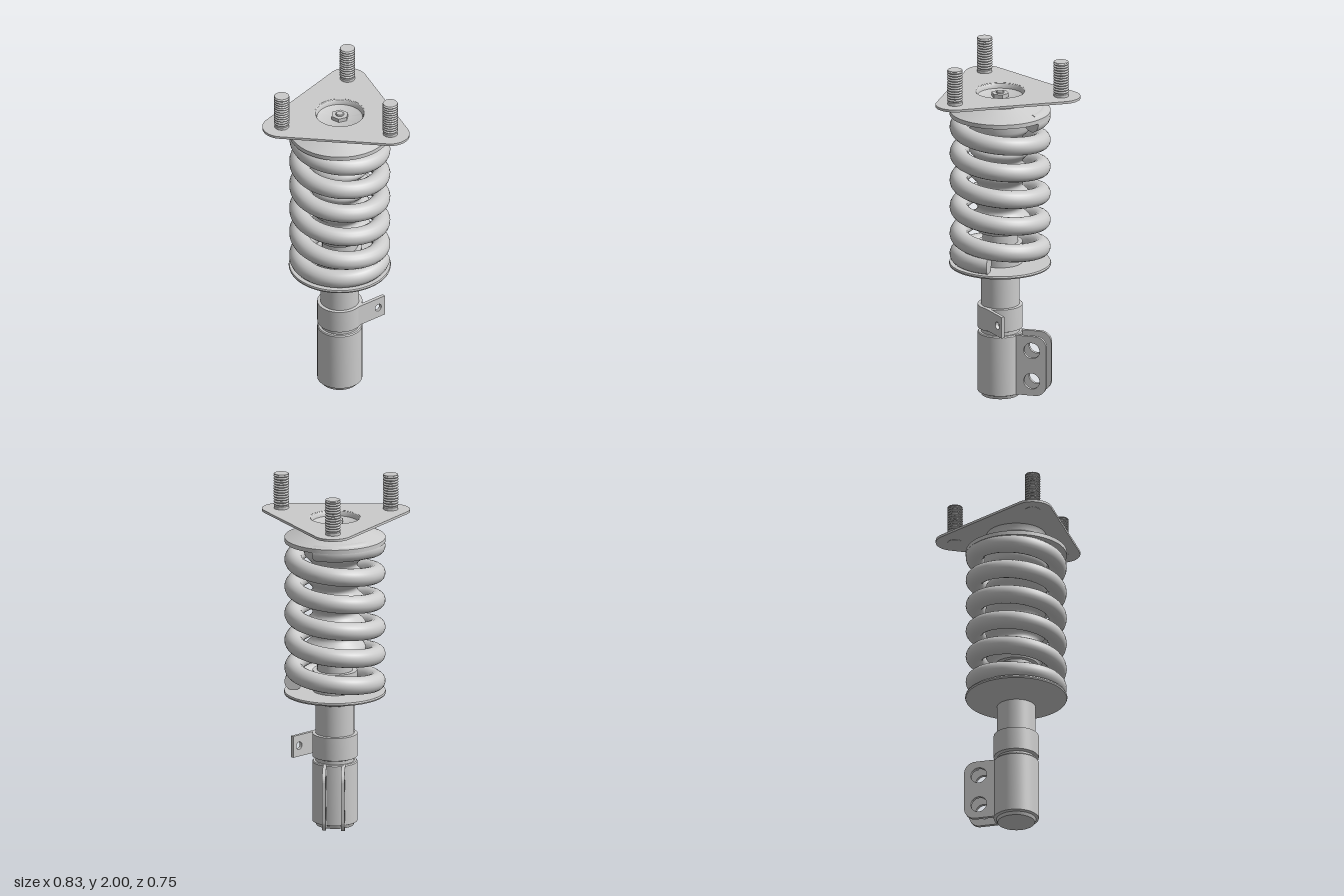
import * as THREE from 'three';
import { toCreasedNormals } from 'three/addons/utils/BufferGeometryUtils.js';

const grey = new THREE.MeshStandardMaterial({ color: 0xcccccc });
const AXIS_Z = 0.087; // the strut axis sits forward of the centre

function add(parent, name, geometry) {
  const mesh = new THREE.Mesh(geometry, grey);
  mesh.name = name;
  parent.add(mesh);
  return mesh;
}

// Turned part from [radius, height] pairs, listed from bottom to top
function turned(profile, sides = 64) {
  const points = profile.map(([r, y]) => new THREE.Vector2(r, y));
  return toCreasedNormals(new THREE.LatheGeometry(points, sides), 0.55);
}

function extruded(shape, depth) {
  const geometry = new THREE.ExtrudeGeometry(shape, { depth, bevelEnabled: false, curveSegments: 24 });
  return toCreasedNormals(geometry, 0.55);
}

function hole(x, y, r) {
  const path = new THREE.Path();
  path.absarc(x, y, r, 0, Math.PI * 2, true);
  return path;
}

// Coil that flattens against both spring seats
class Coil extends THREE.Curve {
  getPoint(t, target = new THREE.Vector3()) {
    const turn = -0.32 + t * 5.82;
    const a = turn * Math.PI * 2;
    const y = THREE.MathUtils.clamp(1.63 - 0.158 * turn, 0.832, 1.65);
    return target.set(-0.233 * Math.cos(a), y, 0.233 * Math.sin(a));
  }
}

export function createModel() {
  const model = new THREE.Group();
  model.name = 'suspensionStrut';
  const strut = new THREE.Group();
  strut.name = 'strut';
  strut.position.z = AXIS_Z;
  model.add(strut);

  // Damper body
  add(strut, 'lowerSleeve', turned([[0, 0], [0.105, 0], [0.112, 0.018], [0.127, 0.024],
    [0.127, 0.37], [0.122, 0.376], [0, 0.376]]));
  add(strut, 'damperTube', turned([[0.109, 0.37], [0.109, 0.78], [0.126, 0.78], [0.126, 0.905], [0, 0.905]]));
  add(strut, 'clampCollar', turned([[0.109, 0.395], [0.127, 0.402], [0.127, 0.535], [0.109, 0.537]]));

  // Spring seats
  add(strut, 'lowerSpringSeat', turned([[0.109, 0.715], [0.15, 0.728], [0.285, 0.768],
    [0.288, 0.776], [0.285, 0.785], [0.109, 0.785]]));
  add(strut, 'upperSpringSeat', turned([[0, 1.658], [0.285, 1.658], [0.285, 1.682],
    [0.155, 1.734], [0.148, 1.75], [0, 1.75]]));

  // Bellows boot around the rod
  const boot = [[0.05, 0.97]];
  for (let i = 0; i <= 60; i++) {
    const k = i / 60;
    boot.push([0.15 + 0.024 * Math.cos(k * Math.PI * 2 * 4.5 + Math.PI), 0.97 + 0.62 * k]);
  }
  boot.push([0.18, 1.62], [0.18, 1.66]);
  add(strut, 'bellowsBoot', turned(boot, 48));
  add(strut, 'rod', new THREE.CylinderGeometry(0.1, 0.1, 0.15, 32).translate(0, 0.95, 0));

  // Spring with flat cut ends
  const coil = new Coil();
  const wire = 0.052;
  add(strut, 'coilSpring', new THREE.TubeGeometry(coil, 420, wire, 18, false));
  for (const t of [0, 1]) {
    const end = add(strut, 'springEnd', new THREE.CircleGeometry(wire, 24));
    const p = coil.getPointAt(t);
    const outward = coil.getTangentAt(t).multiplyScalar(t ? 1 : -1);
    end.position.copy(p);
    end.quaternion.setFromUnitVectors(new THREE.Vector3(0, 0, 1), outward);
  }

  // Hose tab, tangent to the collar and pointing out and back
  const tab = new THREE.Shape();
  tab.moveTo(0, 0.41);
  tab.lineTo(0.228, 0.41);
  tab.lineTo(0.228, 0.535);
  tab.lineTo(0, 0.535);
  tab.holes.push(hole(0.182, 0.473, 0.022));
  const tabMesh = add(strut, 'hoseTab', extruded(tab, 0.02).translate(0, 0, 0.1));
  tabMesh.rotation.y = Math.PI / 4;

  // Pair of knuckle lugs; shape x runs backwards from the axis
  const lug = new THREE.Shape();
  const back = 0.287, low = 0.025, high = 0.375, r = 0.065;
  lug.moveTo(0.08, low);
  lug.lineTo(back - r, low);
  lug.absarc(back - r, low + r, r, -Math.PI / 2, 0, false);
  lug.absarc(back - r, high - r, r, 0, Math.PI / 2, false);
  lug.lineTo(0.08, high);
  lug.holes.push(hole(0.202, 0.29, 0.046), hole(0.202, 0.11, 0.046));
  for (const side of [-1, 1]) {
    const mesh = add(strut, side > 0 ? 'leftLug' : 'rightLug', extruded(lug, 0.02).translate(0, 0, -0.01));
    mesh.rotation.y = Math.PI / 2;
    mesh.position.x = side * 0.053;
  }

  // Three-cornered top plate, drawn with shape y as -z
  const corners = [[-0.308, -0.265], [0.308, -0.265], [0, 0.27]];
  const plate = new THREE.Shape();
  const cornerRadius = 0.109;
  corners.forEach(([x, y], i) => {
    const [px, py] = corners[(i + 2) % 3];
    const [nx, ny] = corners[(i + 1) % 3];
    const start = Math.atan2(y - py, x - px) - Math.PI / 2;
    const end = Math.atan2(ny - y, nx - x) - Math.PI / 2;
    plate.absarc(x, y, cornerRadius, start, end, false);
  });
  plate.closePath();
  plate.holes.push(hole(0, -AXIS_Z, 0.143));
  const plateMesh = add(model, 'topPlate', extruded(plate, 0.014));
  plateMesh.rotation.x = -Math.PI / 2;
  plateMesh.position.y = 1.782;

  // Recessed cup in the plate, with its nut and rod tip
  add(strut, 'bearingCup', turned([[0, 1.742], [0.15, 1.742], [0.157, 1.75], [0.16, 1.768], [0.168, 1.783],
    [0.145, 1.796], [0.138, 1.793], [0.132, 1.784], [0.129, 1.767], [0.12, 1.762], [0, 1.762]]));
  add(strut, 'rodNut', toCreasedNormals(
    new THREE.CylinderGeometry(0.05, 0.05, 0.022, 6).translate(0, 1.773, 0), 0.5));
  add(strut, 'rodTip', turned([[0.023, 1.77], [0.023, 1.789], [0.019, 1.793], [0, 1.793]], 24));

  // Threaded studs
  const thread = [[0, 1.78], [0.042, 1.78], [0.042, 1.812]];
  for (let i = 0; i < 12; i++) {
    const y = 1.815 + i * 0.015;
    thread.push([0.035, y], [0.0435, y + 0.005], [0.0435, y + 0.009]);
  }
  thread.push([0.037, 1.993], [0.043, 1.996], [0.041, 2], [0, 2]);
  for (const [x, y] of corners) {
    add(model, 'stud', turned(thread, 28)).position.set(x, 0, -y);
  }

  return model;
}
